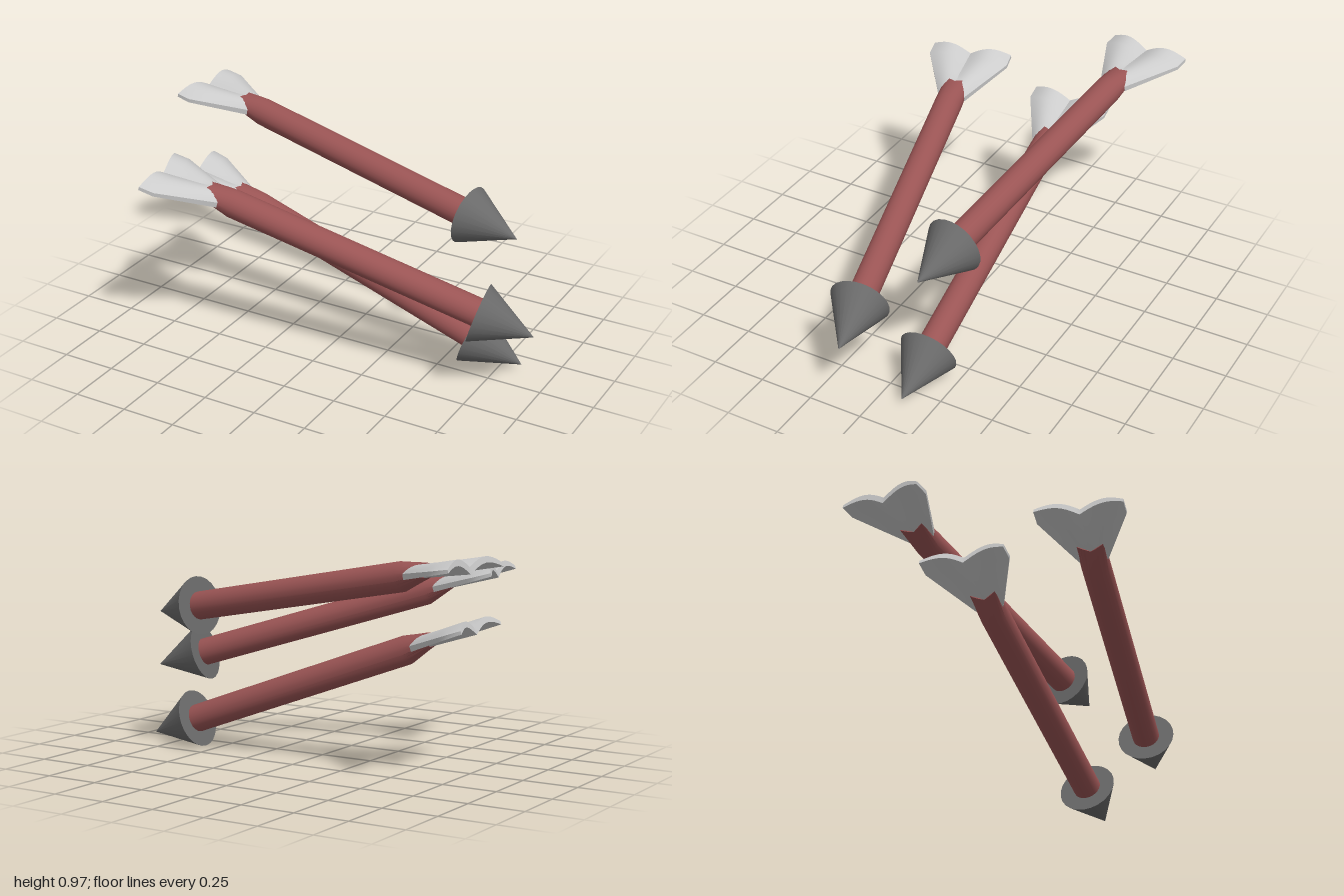
import * as THREE from 'three';
import { toCreasedNormals } from 'three/addons/utils/BufferGeometryUtils.js';

const { lerp } = THREE.MathUtils;
const R = 0.064; // shaft radius

const headMat = new THREE.MeshStandardMaterial({ color: 0x6a6a6a });
const shaftMat = new THREE.MeshStandardMaterial({ color: 0x9a5454 });
const fletchMat = new THREE.MeshStandardMaterial({ color: 0xcccccc });

// Arrows are built along local z: head at +z, tail at -z, origin at the head's base.
function headGeometry() {
  return new THREE.ConeGeometry(0.134, 0.256, 24).rotateX(Math.PI / 2).translate(0, 0, 0.128);
}

// Round shaft whose tail end is cut down to meet the fletching
function shaftGeometry() {
  const g = new THREE.CylinderGeometry(R, R, 1.28, 24, 2).rotateX(Math.PI / 2).translate(0, 0, -0.64);
  const p = g.attributes.position;
  for (let i = 0; i < p.count; i++) {
    const y = p.getY(i), z = p.getZ(i);
    if (z < -1.2) {
      p.setY(i, y * (y > 0 ? 0.7 : 0.3));
      p.setZ(i, z - 0.03 * Math.abs(p.getX(i)) / R);
    } else if (z < -0.5) p.setZ(i, -1.17);
  }
  return toCreasedNormals(g, 0.6);
}

// Swept double vane: cross-sections blend from a low root to a wavy trailing edge
function fletchGeometry() {
  const nu = 20, rows = [0, 0.2, 0.4, 0.6, 0.78, 1], n = 2 * (nu + 1);
  const pos = [], idx = [];
  for (const v of rows) {
    const half = lerp(R, 0.192, Math.min(1, v / 0.78));
    for (let j = 0; j < n; j++) {
      const top = j <= nu;
      const u = ((top ? j : n - 1 - j) / nu) * 2 - 1, a = Math.abs(u);
      const wave = 0.035 * Math.sin(Math.PI * a);
      const root = top ? 0.01 + 0.035 * (1 - u * u) : -0.015;
      const rear = top ? wave : wave - 0.03 * (1 - 0.5 * u * u);
      pos.push(u * half, lerp(root, rear, v), -lerp(1.22, 1.51 + 0.03 * a, v));
    }
  }
  for (let i = 0; i < rows.length - 1; i++) {
    for (let j = 0; j < n; j++) {
      const k = (j + 1) % n, a = i * n + j, b = i * n + k;
      idx.push(a, b, a + n, b, b + n, a + n);
    }
  }
  // Front and rear faces
  const e = (rows.length - 1) * n;
  for (let j = 0; j < nu; j++) {
    const t = j, t1 = j + 1, b = n - 1 - j, b1 = n - 2 - j;
    idx.push(e + t, e + t1, e + b, e + t1, e + b1, e + b);
    idx.push(t, b, t1, t1, b, b1);
  }
  const g = new THREE.BufferGeometry();
  g.setAttribute('position', new THREE.Float32BufferAttribute(pos, 3));
  g.setIndex(idx);
  return toCreasedNormals(g, 0.6);
}

export function createModel() {
  const model = new THREE.Group();
  model.name = 'arrows';
  const parts = [
    ['head', headGeometry(), headMat],
    ['shaft', shaftGeometry(), shaftMat],
    ['fletching', fletchGeometry(), fletchMat],
  ];
  // Head base position and flight direction of each arrow
  const arrows = [
    ['upperArrow', [0.535, 0.674, -0.2], [1, -0.18, 0.13]],
    ['frontArrow', [0.754, 0.404, 0.137], [1, -0.31, -0.18]],
    ['lowerArrow', [0.617, 0.133, -0.114], [1, -0.365, -0.028]],
  ];
  for (const [name, base, dir] of arrows) {
    const arrow = new THREE.Group();
    arrow.name = name;
    arrow.position.set(...base);
    arrow.lookAt(new THREE.Vector3(...base).add(new THREE.Vector3(...dir)));
    for (const [partName, geometry, material] of parts) {
      const mesh = new THREE.Mesh(geometry, material);
      mesh.name = partName;
      arrow.add(mesh);
    }
    model.add(arrow);
  }
  return model;
}
